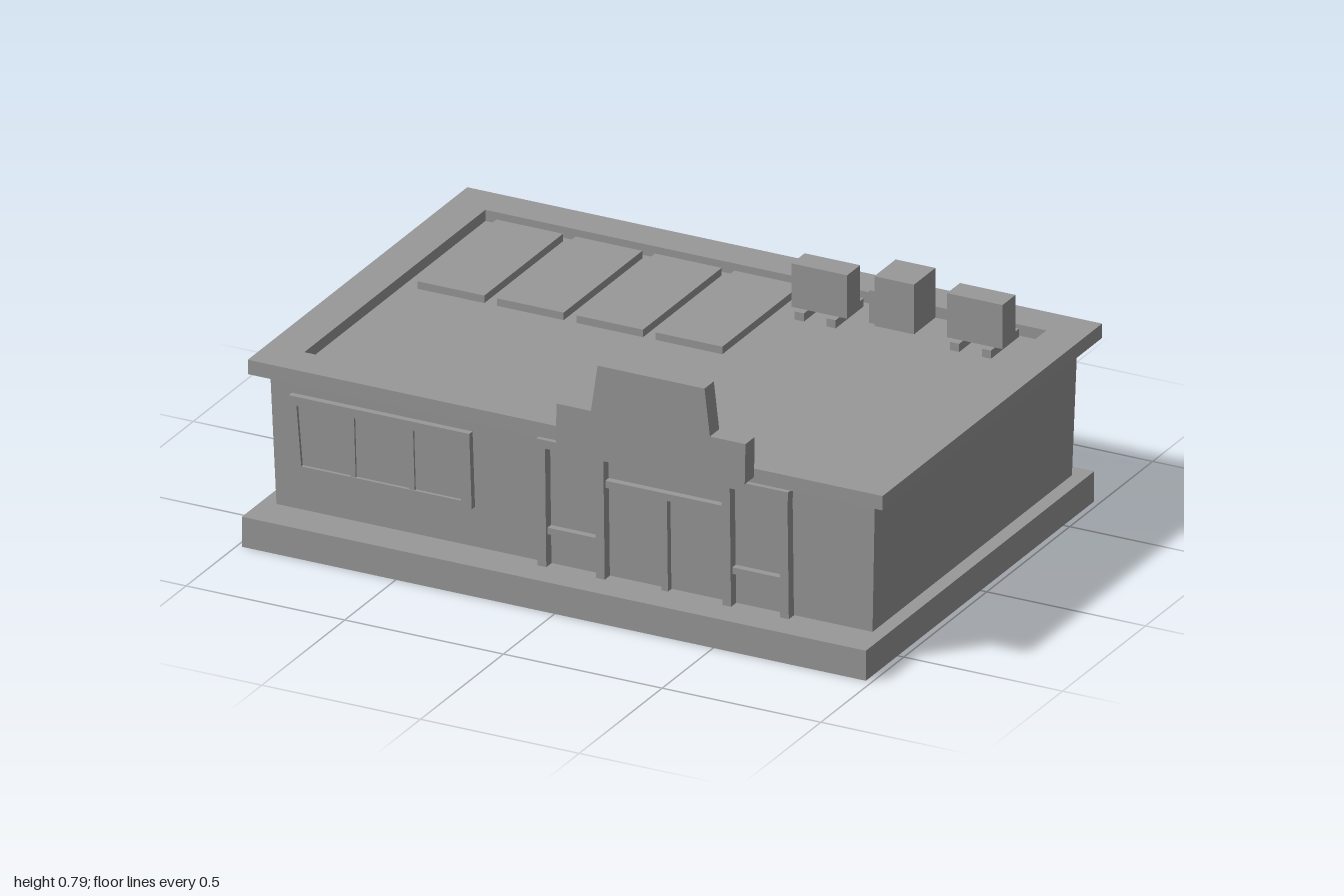
import * as THREE from 'three';

const material = new THREE.MeshStandardMaterial({ color: 0x999999, flatShading: true, side: THREE.DoubleSide });

function add(parent, name, geometry) {
  const mesh = new THREE.Mesh(geometry, material);
  mesh.name = name;
  parent.add(mesh);
  return mesh;
}

// Box given by its limits on each axis
function block(parent, name, [x0, x1], [y0, y1], [z0, z1]) {
  const g = new THREE.BoxGeometry(x1 - x0, y1 - y0, z1 - z0);
  g.translate((x0 + x1) / 2, (y0 + y1) / 2, (z0 + z1) / 2);
  return add(parent, name, g);
}

// Shell through rectangular rings [x0, x1, z0, z1, y]; sides: 0 front, 1 left, 2 back, 3 right
function shell(rings, sides = [0, 1, 2, 3], cap = false) {
  const corners = ([x0, x1, z0, z1, y]) => [[x0, y, z1], [x1, y, z1], [x1, y, z0], [x0, y, z0]];
  const pos = [];
  const quad = (a, b, c, d) => pos.push(...a, ...b, ...c, ...a, ...c, ...d);
  for (let i = 0; i < rings.length - 1; i++) {
    const lo = corners(rings[i]), hi = corners(rings[i + 1]);
    for (const s of sides) quad(lo[s], lo[(s + 1) % 4], hi[(s + 1) % 4], hi[s]);
  }
  if (cap) quad(...corners(rings[rings.length - 1]));
  const g = new THREE.BufferGeometry();
  g.setAttribute('position', new THREE.Float32BufferAttribute(pos, 3));
  g.computeVertexNormals();
  return g;
}

// Lean geometry outwards towards the top, like the front wall
function lean(g, slope = 0.022, y0 = 0.09) {
  const p = g.attributes.position;
  for (let i = 0; i < p.count; i++) p.setZ(i, p.getZ(i) + slope * (p.getY(i) - y0));
  g.computeVertexNormals();
  return g;
}

const outline = (pts) => pts.map(([x, y]) => new THREE.Vector2(x, y));

// Plate with an optional opening, from z0 to z1
function plate(outer, opening, z0, z1) {
  const shape = new THREE.Shape(outer);
  if (opening) shape.holes.push(new THREE.Path(opening));
  const g = z1 > z0
    ? new THREE.ExtrudeGeometry(shape, { depth: z1 - z0, bevelEnabled: false })
    : new THREE.ShapeGeometry(shape);
  return g.translate(0, 0, z0);
}

export function createModel() {
  const model = new THREE.Group();
  model.name = 'shopBuilding';

  // Plinth, open underneath
  add(model, 'plinth', shell([
    [-0.985, 0.981, -0.684, 0.692, 0],
    [-0.985, 0.981, -0.684, 0.692, 0.092],
    [-0.94, 0.938, -0.632, 0.57, 0.092],
  ]));

  // Side and back walls, flaring slightly upwards
  add(model, 'walls', shell([
    [-0.94, 0.938, -0.632, 0.57, 0.092],
    [-0.955, 0.95, -0.642, 0.579, 0.5],
  ], [1, 2, 3]));

  // Front wall with the window opening
  const windowOuter = outline([[-0.887, 0.447], [-0.873, 0.215], [-0.313, 0.215], [-0.318, 0.447]]);
  const windowReveal = outline([[-0.881, 0.441], [-0.867, 0.221], [-0.319, 0.221], [-0.324, 0.441]]);
  const windowInner = outline([[-0.863, 0.42], [-0.85, 0.235], [-0.346, 0.235], [-0.34, 0.42]]);
  const wallOutline = outline([[-0.94, 0.092], [0.938, 0.092], [0.95, 0.5], [-0.955, 0.5]]);
  add(model, 'frontWall', lean(plate(wallOutline, windowReveal, 0.57, 0.57)));

  // Three-light window, recessed when seen from indoors
  const windowGroup = new THREE.Group();
  windowGroup.name = 'window';
  model.add(windowGroup);
  add(windowGroup, 'windowReveal', lean(plate(windowOuter, windowReveal, 0.57, 0.58)));
  add(windowGroup, 'windowFrame', lean(plate(windowOuter, windowInner, 0.58, 0.59)));
  add(windowGroup, 'windowGlass', lean(plate(windowOuter, null, 0.58, 0.58)));
  for (const [t, b] of [[-0.703, -0.698], [-0.517, -0.512]]) {
    const bar = outline([[t, 0.42], [b, 0.235], [b + 0.018, 0.235], [t + 0.02, 0.42]]);
    add(windowGroup, 'windowMullion', lean(plate(bar, null, 0.58, 0.587)));
  }

  // Entrance: posts, header and rails
  const entrance = new THREE.Group();
  entrance.name = 'entrance';
  model.add(entrance);
  const timber = (name, x, y, z1) => lean(block(entrance, name, x, y, [0.571, z1]).geometry);
  for (const x of [-0.1, 0.084, 0.482, 0.664]) timber('entrancePost', [x, x + 0.027], [0.092, 0.458], 0.602);
  timber('entranceHeader', [-0.1, 0.693], [0.458, 0.484], 0.602);
  timber('leftWindowRail', [-0.073, 0.084], [0.19, 0.21], 0.592);
  timber('rightWindowRail', [0.509, 0.664], [0.19, 0.21], 0.592);
  timber('doorLintel', [0.111, 0.482], [0.372, 0.394], 0.592);
  timber('doorMullion', [0.285, 0.305], [0.092, 0.372], 0.592);

  // Overhanging roof with parapet and sunken deck
  const deck = 0.51;
  add(model, 'roof', shell([
    [-0.955, 0.95, -0.642, 0.579, 0.5],
    [-1, 1, -0.695, 0.628, 0.5],
    [-1, 1, -0.695, 0.628, 0.544],
    [-0.884, 0.884, -0.582, 0.509, 0.544],
    [-0.884, 0.884, -0.582, 0.509, deck],
  ], [0, 1, 2, 3], true));

  // Stepped sign board above the entrance
  const board = outline([
    [0.003, 0.52], [0.597, 0.52], [0.601, 0.645], [0.489, 0.645],
    [0.474, 0.79], [0.137, 0.79], [0.114, 0.645], [0.005, 0.645],
  ]);
  add(model, 'signBoard', lean(plate(board, null, 0.632, 0.688), 0.025, 0.52));

  // Row of roof panels
  for (let i = 0; i < 4; i++) {
    const x = -0.838 + i * 0.25;
    block(model, 'roofPanel', [x, x + 0.21], [deck, 0.533], [-0.56, -0.086]);
  }

  // Two fan units on skids
  for (const [x, z, top] of [[0.17, -0.49, 0.668], [0.65, -0.508, 0.67]]) {
    const unit = new THREE.Group();
    unit.name = 'fanUnit';
    model.add(unit);
    block(unit, 'fanCasing', [x, x + 0.175], [0.535, top], [z, z + 0.078]);
    for (const dx of [0.022, 0.122]) block(unit, 'skid', [x + dx, x + dx + 0.029], [deck, 0.535], [z - 0.067, z + 0.102]);
  }

  // Vent box with a side duct
  block(model, 'ventBox', [0.424, 0.549], [0.525, 0.677], [-0.553, -0.424]);
  block(model, 'ventDuct', [0.386, 0.408], [deck, 0.61], [-0.51, -0.465]);
  block(model, 'ventDuctElbow', [0.408, 0.424], [0.58, 0.61], [-0.51, -0.465]);

  return model;
}
